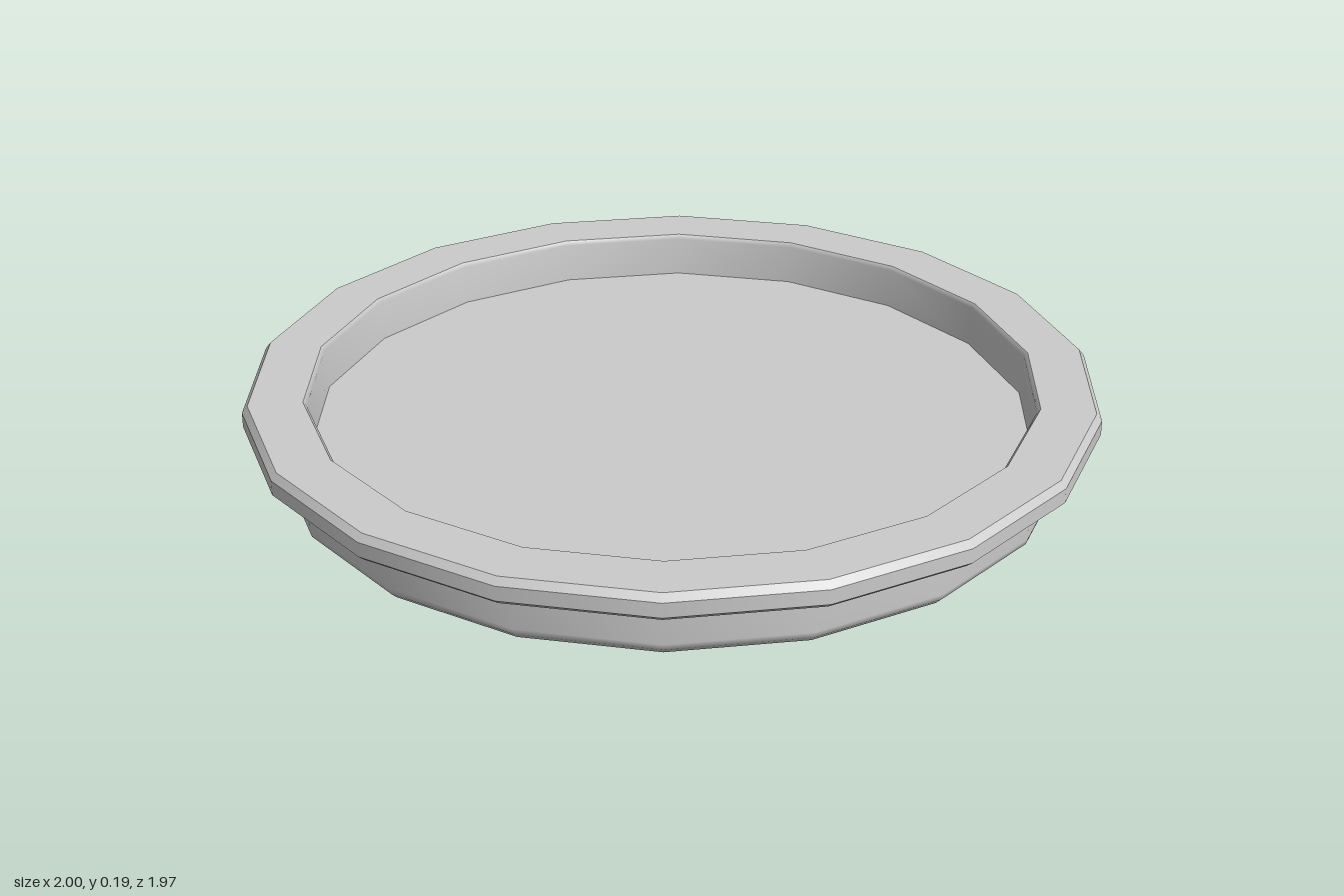
import * as THREE from 'three';

const SIDES = 18;
const material = new THREE.MeshStandardMaterial({ color: 0xcccccc });

// One revolved band; separate bands keep the creases between them sharp
function band(name, profile) {
  const points = profile.map(([r, y]) => new THREE.Vector2(r, y));
  const mesh = new THREE.Mesh(new THREE.LatheGeometry(points, SIDES, Math.PI / 2), material);
  mesh.name = name;
  return mesh;
}

export function createModel() {
  const tray = new THREE.Group();
  tray.name = 'roundTray';

  // Body: flat base and outer wall with a softened foot
  const body = new THREE.Group();
  body.name = 'body';
  body.add(
    band('base', [[0, 0], [0.9, 0]]),
    band('outerWall', [[0.9, 0], [0.915, 0.015], [0.92, 0.03], [0.92, 0.13]])
  );

  // Overhanging rim with bevelled edges
  const rim = new THREE.Group();
  rim.name = 'rim';
  rim.add(
    band('rimUnderside', [[0.92, 0.13], [0.985, 0.13]]),
    band('rimLowerBevel', [[0.985, 0.13], [1, 0.143]]),
    band('rimEdge', [[1, 0.143], [1, 0.178]]),
    band('rimUpperBevel', [[1, 0.178], [0.987, 0.195]]),
    band('rimTop', [[0.987, 0.195], [0.86, 0.195]])
  );

  // Recessed inside
  const inside = new THREE.Group();
  inside.name = 'inside';
  inside.add(
    band('innerWall', [[0.86, 0.195], [0.852, 0.185], [0.845, 0.09]]),
    band('floor', [[0.845, 0.09], [0, 0.09]])
  );

  tray.add(body, rim, inside);
  return tray;
}
